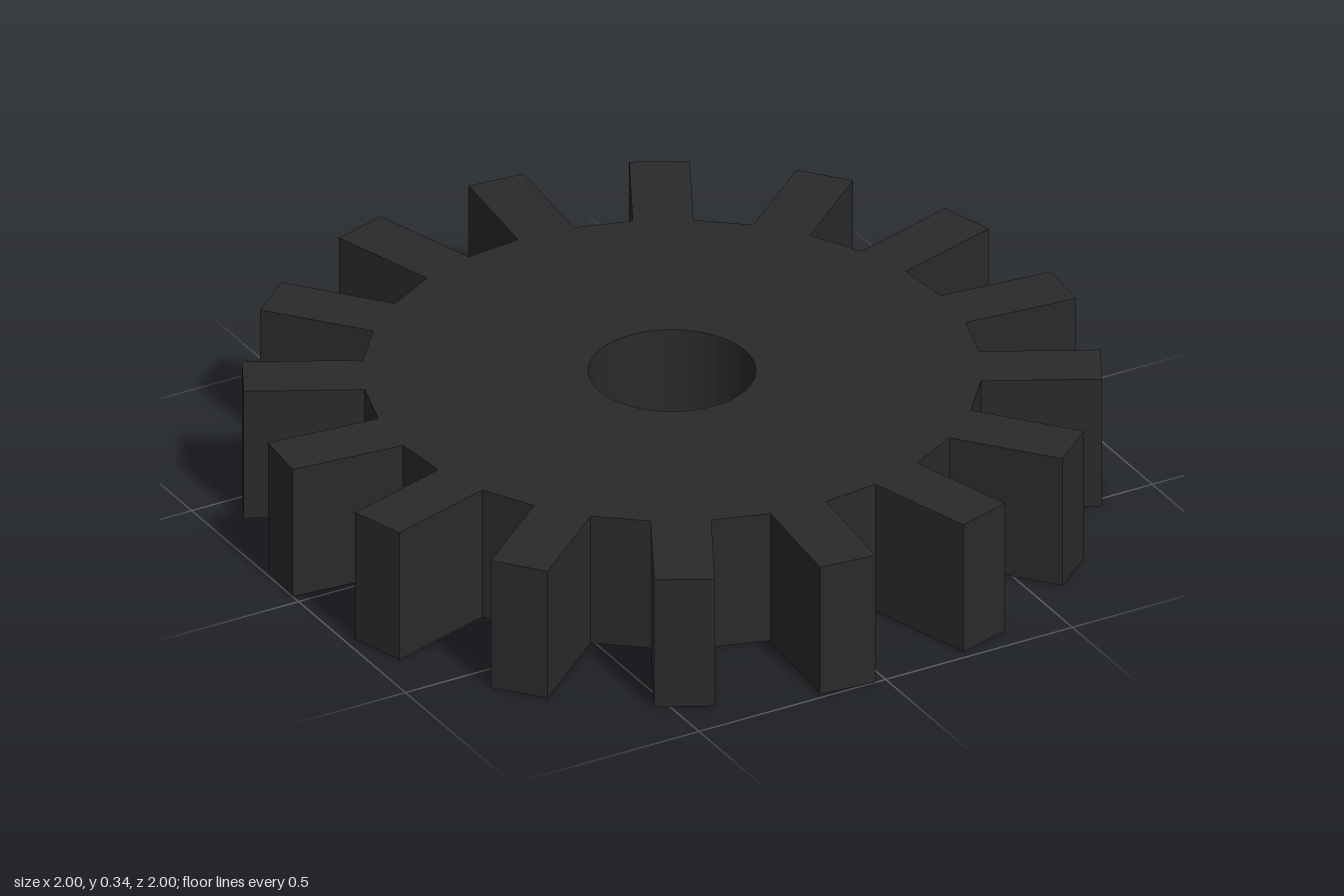
import * as THREE from 'three';

const TEETH = 16;
const ROOT_RADIUS = 0.72;
const TIP_DISTANCE = 0.998;
const HOLE_RADIUS = 0.195;
const THICKNESS = 0.338;

// Outline: a 32-sided disc with a straight tooth on every second side
function gearShape() {
  const step = Math.PI / TEETH;
  const halfWidth = ROOT_RADIUS * Math.sin(step / 2);
  const points = [];
  for (let i = 0; i < TEETH; i++) {
    const angle = (2 * i - 0.5) * step;
    const out = new THREE.Vector2(Math.cos(angle), Math.sin(angle));
    const side = new THREE.Vector2(-out.y, out.x).multiplyScalar(halfWidth);
    const root = out.clone().multiplyScalar(ROOT_RADIUS * Math.cos(step / 2));
    const tip = out.clone().multiplyScalar(TIP_DISTANCE);
    points.push(
      root.clone().sub(side), tip.clone().sub(side),
      tip.clone().add(side), root.clone().add(side)
    );
  }
  const shape = new THREE.Shape(points);

  // Round axle hole
  const hole = new THREE.Path();
  hole.absarc(0, 0, HOLE_RADIUS, 0, Math.PI * 2, true);
  shape.holes.push(hole);
  return shape;
}

export function createModel() {
  const group = new THREE.Group();
  group.name = 'gear';

  // Toothed wheel lying flat
  const geometry = new THREE.ExtrudeGeometry(gearShape(), {
    depth: THICKNESS, bevelEnabled: false, curveSegments: 32
  });
  geometry.rotateX(-Math.PI / 2);
  const material = new THREE.MeshStandardMaterial({ color: 0x2a2a2a, flatShading: true });
  const wheel = new THREE.Mesh(geometry, material);
  wheel.name = 'toothedWheel';
  group.add(wheel);

  return group;
}
